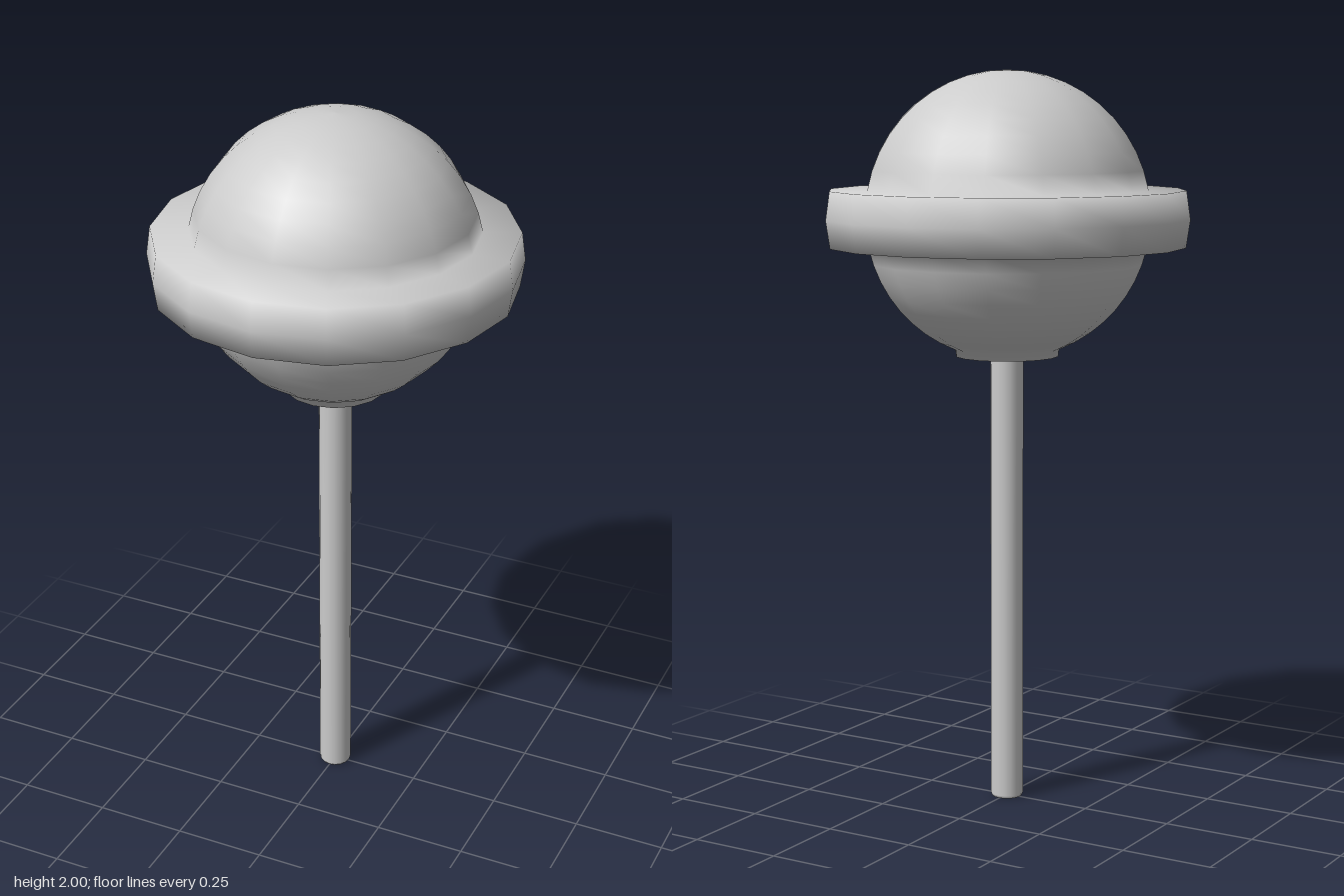
import * as THREE from 'three';

const SIDES = 16;
const RADIUS = 0.387;
const CENTER_Y = 1.613;

// Points on the candy ball's outline between two heights above its centre
function ballArc(fromY, toY, steps) {
  const a = Math.asin(fromY / RADIUS), b = Math.asin(toY / RADIUS);
  return Array.from({ length: steps + 1 }, (_, i) => {
    const t = a + (b - a) * i / steps;
    return new THREE.Vector2(Math.max(0, RADIUS * Math.cos(t)), CENTER_Y + RADIUS * Math.sin(t));
  });
}

const point = ([x, y]) => new THREE.Vector2(x, y);

export function createModel() {
  const group = new THREE.Group();
  group.name = 'lollipop';
  const material = new THREE.MeshStandardMaterial({ color: 0xcccccc, side: THREE.DoubleSide });

  function addLathe(name, points, sides) {
    const mesh = new THREE.Mesh(new THREE.LatheGeometry(points, sides), material);
    mesh.name = name;
    group.add(mesh);
  }

  // Candy: ball with a shallow dimple below and a band around the middle
  addLathe('candy', [
    ...[[0, 1.243], [0.115, 1.243], [0.122, 1.233], [0.14, 1.234]].map(point),
    ...ballArc(-0.36, 1.53 - CENTER_Y, 8),
    ...[[0.482, 1.53], [0.493, 1.605], [0.482, 1.682]].map(point),
    ...ballArc(1.682 - CENTER_Y, RADIUS, 10),
  ], SIDES);

  // Stick with a closed, slightly softened lower end
  addLathe('stick', [[0, 0], [0.041, 0], [0.045, 0.008], [0.045, 1.25]].map(point), SIDES);

  return group;
}
